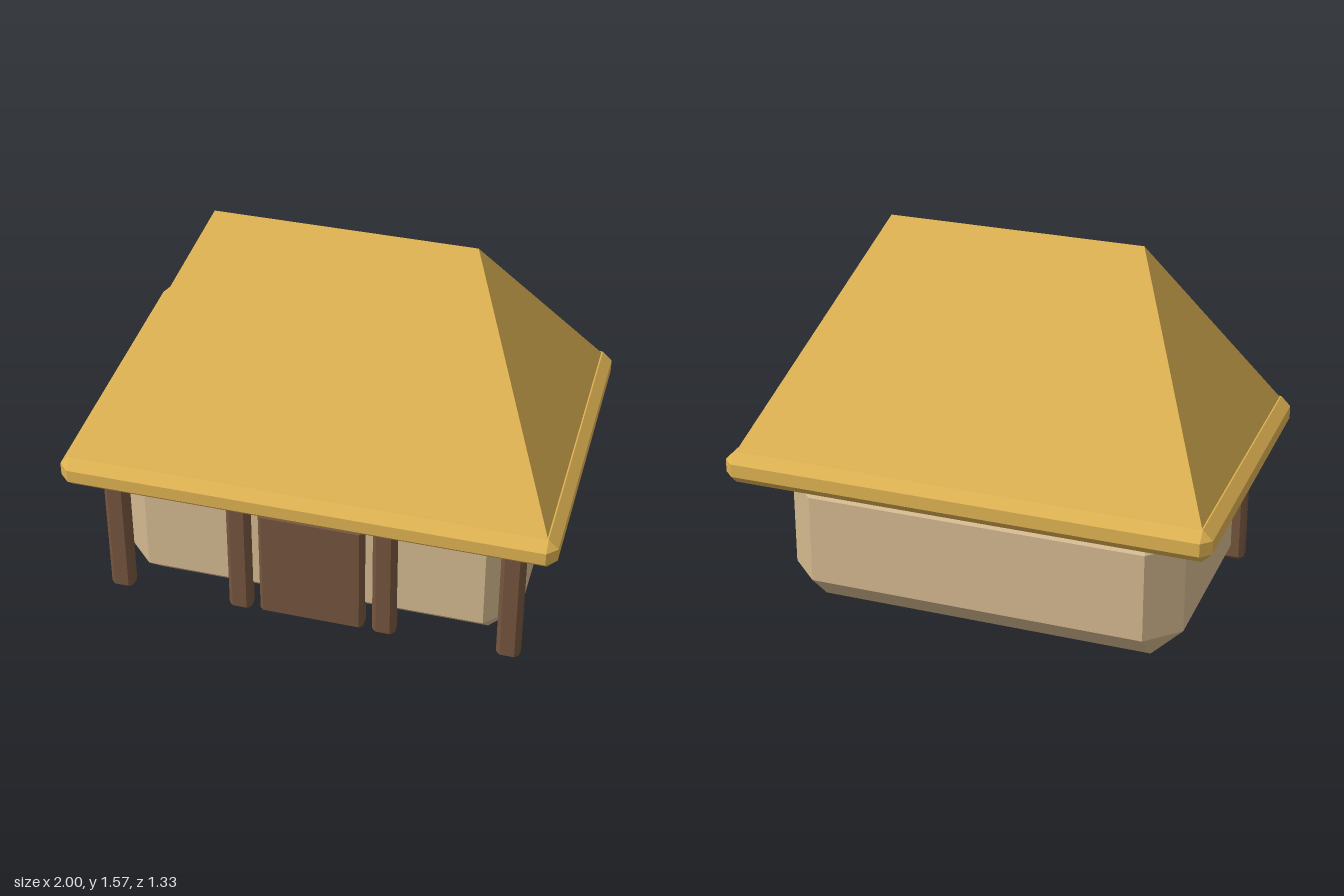
import * as THREE from 'three';
import { ConvexGeometry } from 'three/addons/geometries/ConvexGeometry.js';

// Box with all edges cut at 45 degrees, given by its half extents and cut size
function chamferedBox(hx, hy, hz, c) {
  const points = [];
  for (const sx of [-1, 1]) for (const sy of [-1, 1]) for (const sz of [-1, 1]) {
    points.push(
      new THREE.Vector3(sx * hx, sy * (hy - c), sz * (hz - c)),
      new THREE.Vector3(sx * (hx - c), sy * hy, sz * (hz - c)),
      new THREE.Vector3(sx * (hx - c), sy * (hy - c), sz * hz)
    );
  }
  return new ConvexGeometry(points);
}

export function createModel() {
  const flat = (name, color) => {
    const m = new THREE.MeshStandardMaterial({ color });
    m.name = name;
    m.flatShading = true;
    return m;
  };
  const thatch = flat('thatch', 0xdeb252);
  const clay = flat('clay', 0xd3b88e);
  const wood = flat('wood', 0x74553e);

  const group = new THREE.Group();
  group.name = 'hut';
  const add = (name, geometry, material, x, y, z) => {
    const mesh = new THREE.Mesh(geometry, material);
    mesh.name = name;
    mesh.position.set(x, y, z);
    group.add(mesh);
  };

  // Clay body with wide bevels
  add('walls', chamferedBox(0.835, 0.32, 0.5, 0.13), clay, 0, 0.32, 0);

  // Eave slab
  add('eave', chamferedBox(1, 0.0675, 0.665, 0.04), thatch, 0, 0.6675, 0);

  // Hipped roof with a ridge along x
  const roofPoints = [];
  for (const sx of [-1, 1]) {
    roofPoints.push(new THREE.Vector3(sx * 0.525, 1.57, 0));
    for (const sz of [-1, 1]) roofPoints.push(new THREE.Vector3(sx * 0.957, 0.73, sz * 0.62));
  }
  add('roof', new ConvexGeometry(roofPoints), thatch, 0, 0, 0);

  // Porch posts
  const post = chamferedBox(0.048, 0.32, 0.037, 0.018);
  for (const x of [-0.817, -0.303, 0.303, 0.817]) add('post', post, wood, x, 0.322, 0.508);

  // Door
  add('door', chamferedBox(0.218, 0.262, 0.037, 0.015), wood, 0, 0.27, 0.505);

  return group;
}
